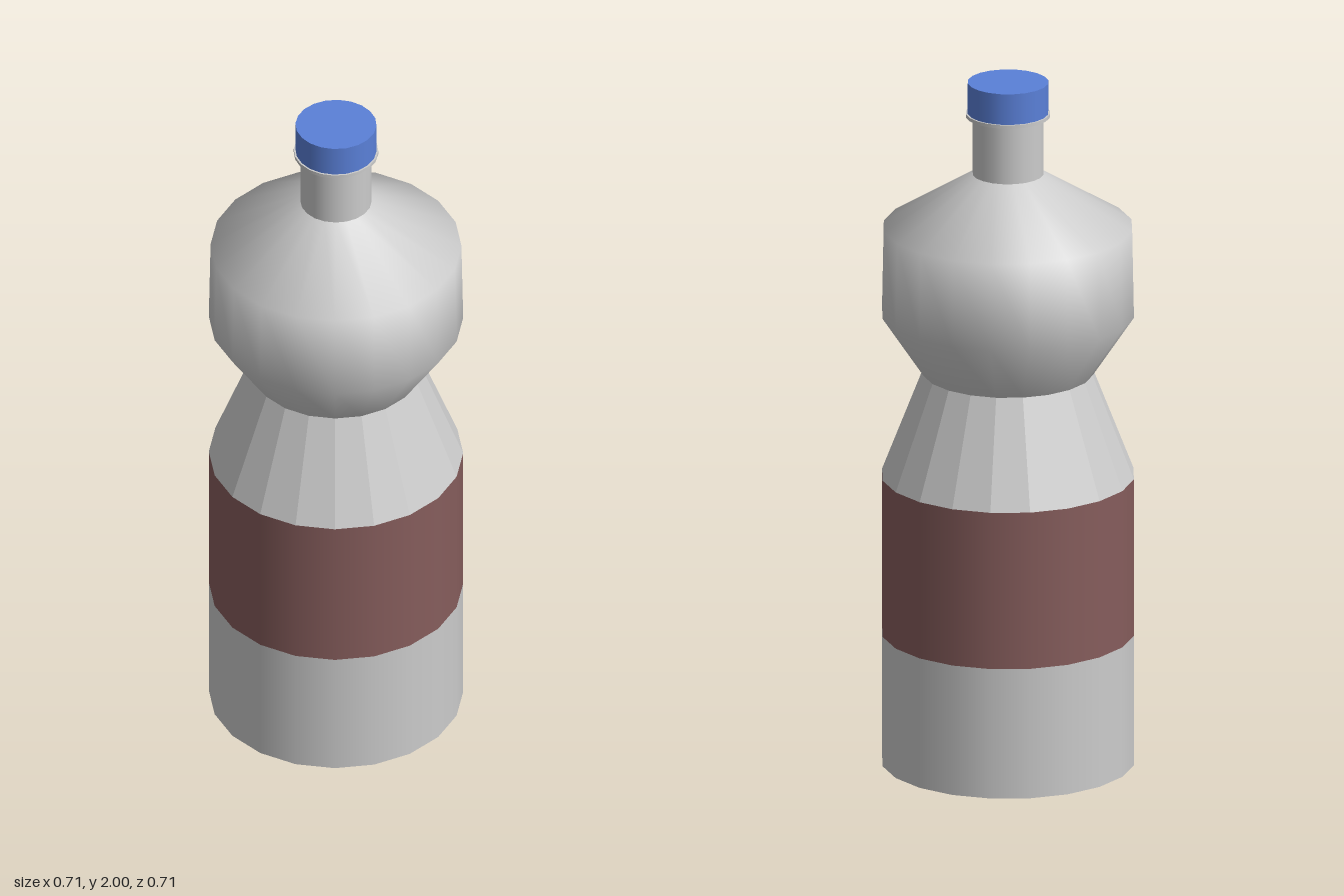
import * as THREE from 'three';

const SIDES = 20;
const TURN = 0.043; // slight twist of the facets about the axis

export function createModel() {
  const bottle = new THREE.Group();
  bottle.name = 'bottle';

  const grey = new THREE.MeshStandardMaterial({ color: 0xcccccc });
  const greyFlat = new THREE.MeshStandardMaterial({ color: 0xcccccc, flatShading: true });
  const maroon = new THREE.MeshStandardMaterial({ color: 0x865d5c });
  const blue = new THREE.MeshStandardMaterial({ color: 0x5a80d8 });

  const add = (name, geometry, material) => {
    const mesh = new THREE.Mesh(geometry, material);
    mesh.name = name;
    bottle.add(mesh);
  };
  // Surface of revolution from [radius, height] pairs, bottom to top
  const turned = (name, profile, material) => add(name, new THREE.LatheGeometry(
    profile.map(([r, y]) => new THREE.Vector2(r, y)), SIDES, TURN), material);
  // Closed disc-like solid between two heights
  const solid = (name, r, y0, y1, material) => add(name, new THREE.CylinderGeometry(
    r, r, y1 - y0, SIDES).translate(0, (y0 + y1) / 2, 0), material);

  // Straight lower body with its floor
  turned('lowerBody', [[0.357, 0], [0.357, 0.382]], grey);
  add('base', new THREE.CircleGeometry(0.357, SIDES)
    .rotateX(Math.PI / 2).rotateY(TURN), grey);
  turned('label', [[0.357, 0.382], [0.357, 0.843]], maroon);

  // Faceted cone drawing in to the grip, then the smooth upper bulb
  turned('waist', [[0.357, 0.843], [0.24, 1.145]], greyFlat);
  turned('upperBulb', [[0.24, 1.145], [0.357, 1.32], [0.352, 1.575], [0.1, 1.73]], grey);

  // Neck, collar and screw cap
  turned('neck', [[0.1, 1.73], [0.1, 1.905]], grey);
  solid('collar', 0.119, 1.9, 1.91, grey);
  solid('cap', 0.114, 1.91, 2, blue);

  return bottle;
}
